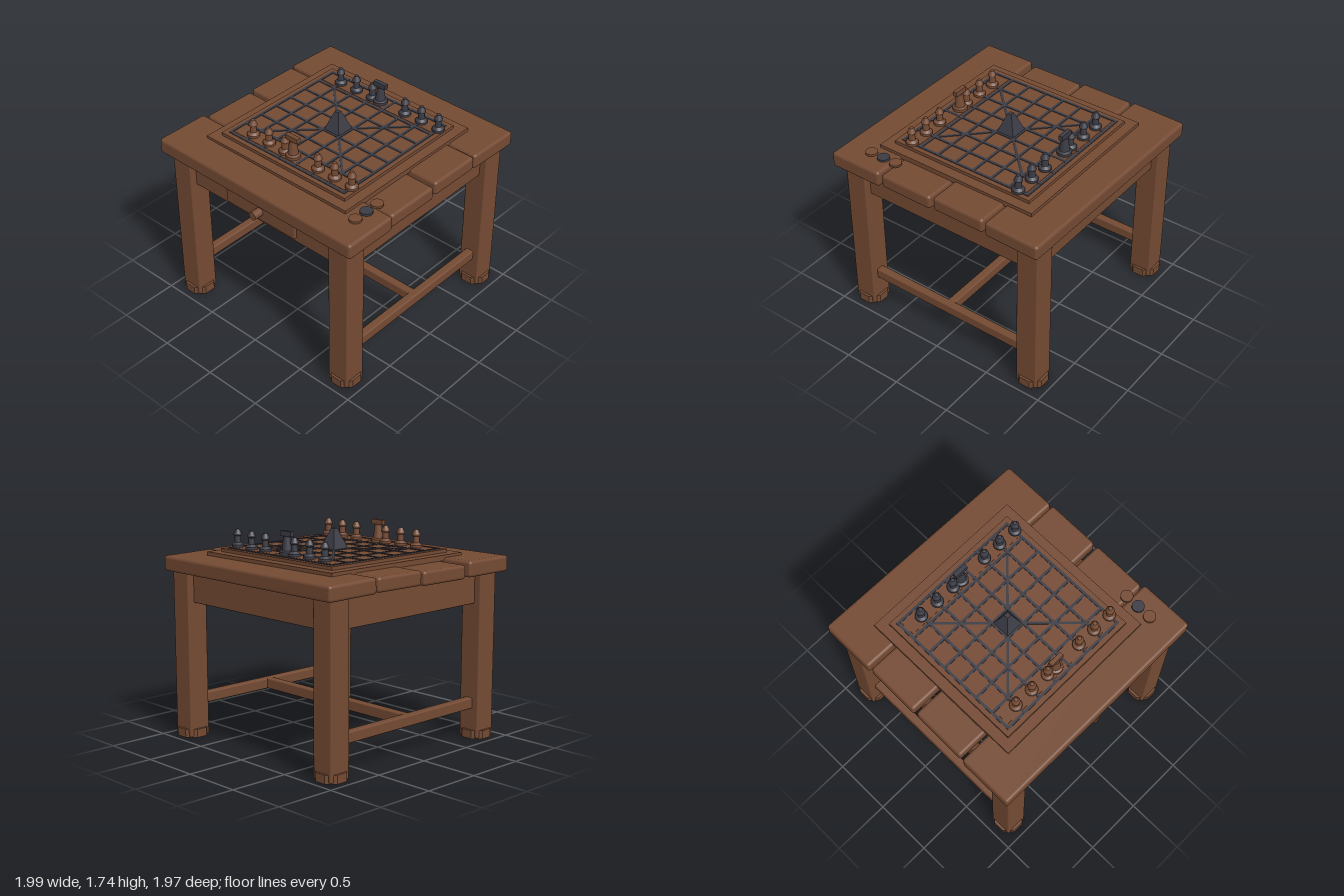
import * as THREE from 'three';
import { RoundedBoxGeometry } from 'three/addons/geometries/RoundedBoxGeometry.js';

export function createModel() {
  const wood = new THREE.MeshStandardMaterial({ color: 0x744a33 });
  wood.name = 'wood';
  const dark = new THREE.MeshStandardMaterial({ color: 0x3b3b45 });
  dark.name = 'dark slate';

  const model = new THREE.Group();
  model.name = 'gameTable';

  function add(name, geometry, material, x, y, z, parent = model) {
    const mesh = new THREE.Mesh(geometry, material);
    mesh.name = name;
    mesh.position.set(x, y, z);
    parent.add(mesh);
    return mesh;
  }
  const box = (w, h, d) => new THREE.BoxGeometry(w, h, d);
  const beam = (w, h, d, r = 0.012) => new RoundedBoxGeometry(w, h, d, 2, r);

  // Sharp-edged turned part: one lathe band per profile segment
  function turned(name, profile, material, parent, sides = 16) {
    const group = new THREE.Group();
    group.name = name;
    for (let i = 0; i < profile.length - 1; i++) {
      const points = [profile[i], profile[i + 1]].map(p => new THREE.Vector2(p[0], p[1]));
      add(name + 'Band', new THREE.LatheGeometry(points, sides), material, 0, 0, 0, group);
    }
    parent.add(group);
    return group;
  }

  // Legs with octagonal feet
  const legX = 0.823, legZ = 0.825;
  for (const sx of [-1, 1]) {
    for (const sz of [-1, 1]) {
      add('leg', beam(0.19, 1.375, 0.19), wood, sx * legX, 0.6925, sz * legZ);
      const footGeometry = new THREE.CylinderGeometry(0.125, 0.125, 0.07, 8).toNonIndexed();
      footGeometry.computeVertexNormals();
      add('foot', footGeometry, wood, sx * legX, 0.035, sz * legZ).rotation.y = Math.PI / 8;
    }
  }

  // Aprons and H-shaped stretcher
  for (const s of [-1, 1]) {
    add('longApron', beam(1.5, 0.24, 0.07), wood, 0, 1.24, s * legZ);
    add('sideApron', beam(0.07, 0.24, 1.5), wood, s * legX, 1.24, 0);
    add('sideStretcher', beam(0.07, 0.09, 1.5), wood, s * legX, 0.295, 0);
  }
  add('crossStretcher', beam(1.62, 0.09, 0.07), wood, 0, 0.295, 0);

  // Drawer and knob
  add('drawerFront', beam(0.72, 0.16, 0.04, 0.008), wood, 0, 1.24, 0.865);
  const knob = add('drawerKnob', new THREE.CylinderGeometry(0.035, 0.035, 0.09, 16), wood, 0, 1.24, 0.92);
  knob.rotation.x = Math.PI / 2;

  // Slightly uneven top planks: length, height, depth, x, y, z, yaw, pitch, roll
  const planks = [
    [1.99, 0.13, 0.47, 0, 1.433, 0.746, -0.002, 0, -0.003],
    [1.96, 0.115, 0.475, 0, 1.423, 0.249, -0.012, 0.004, 0.002],
    [1.96, 0.118, 0.465, 0, 1.436, -0.248, -0.012, 0.004, 0.003],
    [1.965, 0.125, 0.475, 0, 1.43, -0.737, -0.015, -0.015, -0.002],
  ];
  for (const [w, h, d, x, y, z, yaw, pitch, roll] of planks) {
    add('topPlank', beam(w, h, d, 0.025), wood, x, y, z).rotation.set(pitch, yaw, roll);
  }

  // Stepped game board
  add('boardBase', box(1.445, 0.045, 1.445), wood, 0, 1.4995, 0);
  add('boardTop', box(1.28, 0.028, 1.28), wood, 0, 1.535, 0);
  const boardY = 1.549;

  // Inlaid grid, 8 lines each way, with diagonals across the middle
  const step = 0.169, half = step * 3.5;
  for (let i = 0; i < 8; i++) {
    const p = -half + i * step;
    add('gridLineZ', box(0.022, 0.006, half * 2 + 0.022), dark, p, boardY + 0.003, 0);
    add('gridLineX', box(half * 2 + 0.022, 0.0056, 0.022), dark, 0, boardY + 0.0028, p);
  }
  for (const s of [-1, 1]) {
    const diagonal = add('diagonalLine', box(step * 5 * Math.SQRT2, 0.005, 0.02), dark, 0, boardY + 0.0025, 0);
    diagonal.rotation.y = s * Math.PI / 4;
    add('homeRowStrip', box(1.14, 0.004, 0.12), wood, 0, boardY + 0.002, s * 0.508);
  }

  // Central pyramid
  const pyramidGeometry = new THREE.CylinderGeometry(0.026, 0.112, 0.165, 4).toNonIndexed();
  pyramidGeometry.computeVertexNormals();
  add('centrePyramid', pyramidGeometry, dark, 0, boardY + 0.0825, 0).rotation.y = Math.PI / 4;

  // Playing pieces, one row per side
  const pawnProfile = [[0.05, 0], [0.05, 0.02], [0.036, 0.032], [0.027, 0.04], [0.025, 0.09],
    [0.034, 0.096], [0.034, 0.108], [0.016, 0.145], [0, 0.148]];
  const kingProfile = [[0.06, 0], [0.06, 0.025], [0.042, 0.035], [0.029, 0.135], [0.029, 0.148], [0, 0.148]];
  const pawnFiles = [-0.425, -0.255, -0.085, 0.255, 0.423, 0.592];
  for (const [side, material] of [[1, wood], [-1, dark]]) {
    const z = side * 0.507;
    for (const x of pawnFiles) {
      turned('pawn', pawnProfile, material, model).position.set(x, boardY + 0.003, z);
    }
    const king = turned('king', kingProfile, material, model);
    king.position.set(0, boardY + 0.003, z);
    add('kingCrossbar', box(0.12, 0.04, 0.036), material, 0, 0.167, 0, king);
  }

  // Counters beside the board
  [[0.485, wood], [0.605, dark], [0.725, wood]].forEach(([z, material]) => {
    add('counter', new THREE.CylinderGeometry(0.05, 0.05, 0.018, 20), material, 0.82, 1.506, z);
  });

  return model;
}
